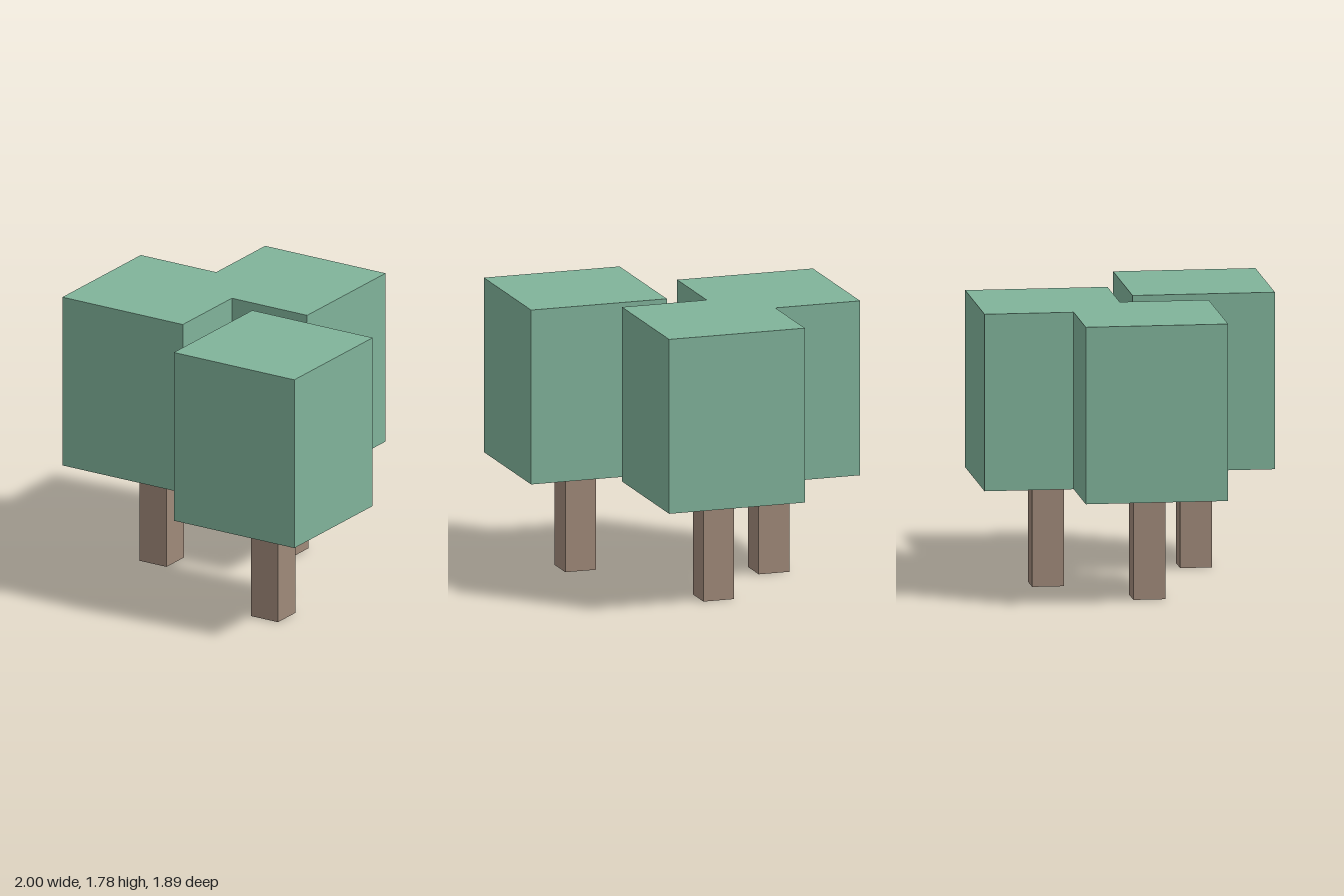
import * as THREE from 'three';

export function createModel() {
  const model = new THREE.Group();
  model.name = 'treeCluster';

  const leafGreen = new THREE.MeshStandardMaterial({ color: 0x80b39a });
  leafGreen.name = 'leafGreen';
  const barkBrown = new THREE.MeshStandardMaterial({ color: 0x9f8979 });
  barkBrown.name = 'barkBrown';

  const trunkHeight = 0.667, crownHeight = 1.111;
  const trunkGeometry = new THREE.BoxGeometry(0.2, trunkHeight, 0.2);
  const crownGeometry = new THREE.BoxGeometry(0.889, crownHeight, 0.889);

  // One block tree: square trunk under a tall box crown
  function addTree(name, x, z) {
    const tree = new THREE.Group();
    tree.name = name;
    const trunk = new THREE.Mesh(trunkGeometry, barkBrown);
    trunk.name = 'trunk';
    trunk.position.y = trunkHeight / 2;
    const crown = new THREE.Mesh(crownGeometry, leafGreen);
    crown.name = 'crown';
    crown.position.y = trunkHeight + crownHeight / 2;
    tree.add(trunk, crown);
    tree.position.set(x, 0, z);
    model.add(tree);
  }

  addTree('rightTree', -0.556, 0.056);
  addTree('backTree', 0, -0.5);
  addTree('frontLeftTree', 0.556, 0.5);

  return model;
}
